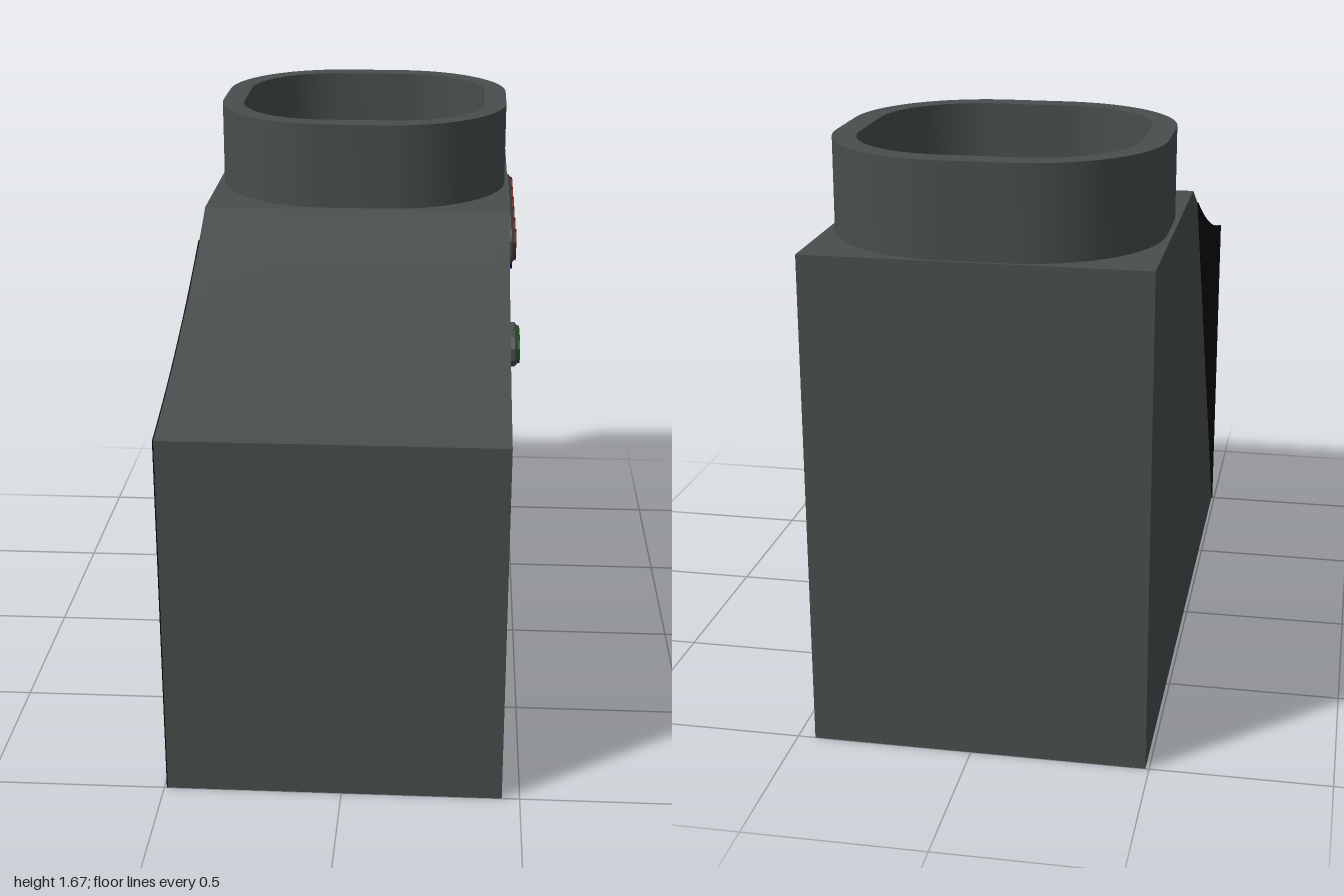
import * as THREE from 'three';
import { toCreasedNormals } from 'three/addons/utils/BufferGeometryUtils.js';

const mat = (name, color) => {
  const m = new THREE.MeshStandardMaterial({ color });
  m.name = name;
  return m;
};

export function createModel() {
  const root = new THREE.Group();
  root.name = 'kioskMachine';
  const grey = mat('slateGrey', 0x484e4d);
  const black = mat('black', 0x0a0a0a);
  const red = mat('red', 0x681010);
  const blue = mat('blue', 0x101068);
  const green = mat('green', 0x0c540f);

  const add = (name, geometry, material, parent = root) => {
    const mesh = new THREE.Mesh(geometry, material);
    mesh.name = name;
    parent.add(mesh);
    return mesh;
  };

  // Side-profile shapes use (u, y) with u = -z, extruded along x from x0 to x1
  const slab = (shape, x0, x1, bevel = 0) => {
    const g = new THREE.ExtrudeGeometry(shape, {
      depth: x1 - x0 - 2 * bevel, curveSegments: 14, bevelEnabled: bevel > 0,
      bevelThickness: bevel, bevelSize: bevel, bevelOffset: -bevel, bevelSegments: 1,
    });
    g.translate(0, 0, x0 + bevel);
    g.rotateY(Math.PI / 2);
    return toCreasedNormals(g, 0.35);
  };
  const rect = (Type, u0, u1, y0, y1) => new Type([
    [u0, y0], [u1, y0], [u1, y1], [u0, y1],
  ].map(([u, y]) => new THREE.Vector2(u, y)));

  // Cabinet in three layers: door face, hollow middle, closed left wall
  const profile = () => {
    const s = new THREE.Shape();
    s.moveTo(-1, 0);
    s.lineTo(1, 0);
    s.lineTo(1, 1.41);
    s.lineTo(0.055, 1.41);
    s.quadraticCurveTo(-0.43, 1.17, -1, 1.055);
    s.lineTo(-1, 0);
    return s;
  };
  const bay = () => rect(THREE.Path, -0.94, -0.005, 0.065, 0.995);
  const door = { u0: 0.225, u1: 0.83, y0: 0.07, y1: 0.925 };

  const face = profile();
  face.holes.push(bay(), rect(THREE.Path, door.u0, door.u1, door.y0, door.y1));
  add('cabinetFace', slab(face, 0.42, 0.45), grey);
  const middle = profile();
  middle.holes.push(bay());
  add('cabinetBody', slab(middle, -0.43, 0.42), grey);
  add('cabinetLeftWall', slab(profile(), -0.49, -0.43), grey);

  // Dark painted corner on the left wall
  const corner = new THREE.Shape();
  const curve = new THREE.QuadraticBezierCurve(
    new THREE.Vector2(0.055, 1.41), new THREE.Vector2(-0.43, 1.17), new THREE.Vector2(-1, 1.055));
  corner.moveTo(-1, 0);
  for (let i = 0; i <= 12; i++) {
    const p = curve.getPoint(2 / 14 + (i / 12) * (12 / 14));
    corner.lineTo(p.x, p.y);
  }
  add('leftDarkCorner', slab(corner, -0.493, -0.489), black);

  // Sloped frame around the recessed door
  const inset = 0.037;
  const ring = (d, x) => [
    [door.u0 + d, door.y0 + d], [door.u1 - d, door.y0 + d],
    [door.u1 - d, door.y1 - d], [door.u0 + d, door.y1 - d],
  ].map(([u, y]) => [x, y, -u]);
  const outer = ring(0, 0.45), inner = ring(inset, 0.4205);
  const positions = [];
  for (let i = 0; i < 4; i++) {
    const j = (i + 1) % 4;
    positions.push(...outer[i], ...outer[j], ...inner[j], ...outer[i], ...inner[j], ...inner[i]);
  }
  const frame = new THREE.BufferGeometry();
  frame.setAttribute('position', new THREE.Float32BufferAttribute(positions, 3));
  frame.computeVertexNormals();
  add('doorBevel', frame, grey);

  // Door knob
  const knob = new THREE.LatheGeometry(
    [[0.03, 0], [0.03, 0.015], [0.057, 0.02], [0.057, 0.036], [0.042, 0.053], [0, 0.053]]
      .map(([r, h]) => new THREE.Vector2(r, h)), 20);
  knob.rotateZ(-Math.PI / 2);
  knob.translate(0.42, 0.51, -0.325);
  add('doorKnob', toCreasedNormals(knob, 0.5), grey);

  // Dark tray inside the open bay
  const roundRect = (Type, cx, cy, w, h, r) => {
    const s = new Type(), a = w / 2 - r, b = h / 2 - r;
    s.absarc(cx + a, cy + b, r, 0, Math.PI / 2);
    s.absarc(cx - a, cy + b, r, Math.PI / 2, Math.PI);
    s.absarc(cx - a, cy - b, r, Math.PI, Math.PI * 1.5);
    s.absarc(cx + a, cy - b, r, Math.PI * 1.5, Math.PI * 2);
    s.closePath();
    return s;
  };
  // Plan shapes use (x, -z), raised from y0 to y1
  const raise = (shape, y0, y1) => {
    const g = new THREE.ExtrudeGeometry(shape, { depth: y1 - y0, curveSegments: 14, bevelEnabled: false });
    g.rotateX(-Math.PI / 2);
    g.translate(0, y0, 0);
    return toCreasedNormals(g, 0.5);
  };
  add('bayTray', raise(roundRect(THREE.Shape, 0.01, -0.475, 0.62, 0.56, 0.06), 0.064, 0.11), black);

  // Hopper collar and its dark opening
  const collar = roundRect(THREE.Shape, -0.018, 0.53, 0.915, 0.92, 0.37);
  collar.holes.push(roundRect(THREE.Path, -0.018, 0.53, 0.775, 0.775, 0.28));
  add('hopperCollar', raise(collar, 1.4, 1.67), grey);
  add('hopperOpening', raise(roundRect(THREE.Shape, -0.018, 0.53, 0.78, 0.78, 0.28), 1.408, 1.416), black);

  // Octagonal buttons: bevelled rim with a coloured cap
  const octagon = (u, y, w, h) => {
    const c = h * 0.293, a = w / 2, b = h / 2;
    return new THREE.Shape([
      [-a + c, -b], [a - c, -b], [a, -b + c], [a, b - c],
      [a - c, b], [-a + c, b], [-a, b - c], [-a, -b + c],
    ].map(([p, q]) => new THREE.Vector2(u + p, y + q)));
  };
  const button = (name, u, y, w, h, x, material) => {
    const group = new THREE.Group();
    group.name = name;
    add('buttonRim', slab(octagon(u, y, w, h), 0.44, x, 0.009), grey, group);
    add('buttonCap', slab(octagon(u, y, w - 0.02, h - 0.02), x - 0.002, x + 0.006), material, group);
    root.add(group);
  };
  [0.172, 0.31, 0.447, 0.585, 0.722, 0.86].forEach((u, i) => {
    button('redButton', u, 1.273, 0.112, 0.112, 0.47, red);
    if (i > 2) button('blueButton', u, 1.124, 0.112, 0.112, 0.47, blue);
  });
  button('greenButton', -0.24, 1.082, 0.2, 0.09, 0.477, green);

  return root;
}
